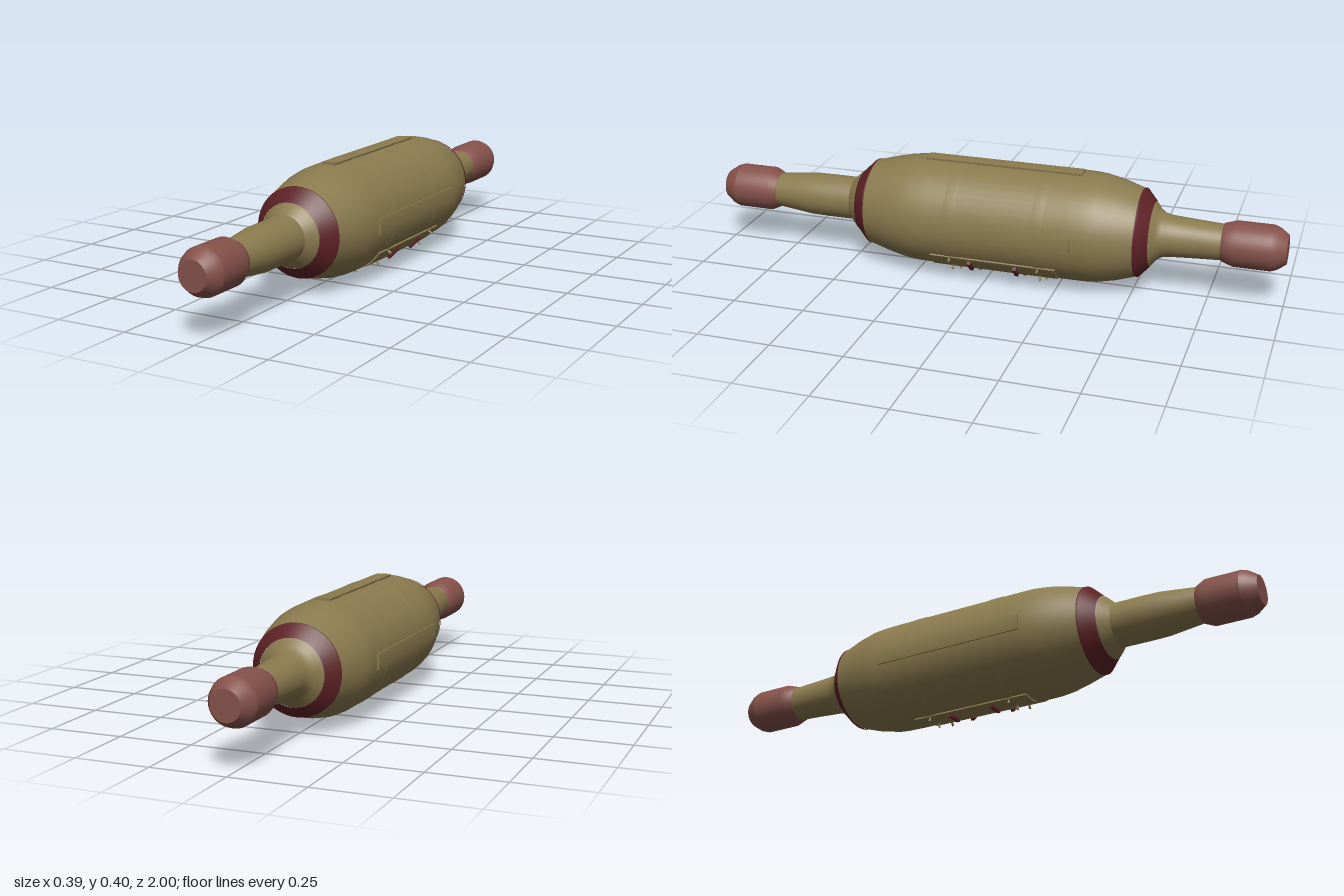
import * as THREE from 'three';

const olive = new THREE.MeshStandardMaterial({ name: 'olive paint', color: 0x8a7a4e });
const red = new THREE.MeshStandardMaterial({ name: 'dark red', color: 0x5e2226 });
const brown = new THREE.MeshStandardMaterial({ name: 'red brown', color: 0x85524a });

export function createModel() {
  const model = new THREE.Group();
  const core = new THREE.Group(); // origin lies on the long axis
  core.name = 'cylinderAssembly';
  core.position.y = 0.208;
  model.add(core);

  const add = (name, geometry, material, parent = core) => {
    const mesh = new THREE.Mesh(geometry, material);
    mesh.name = name;
    parent.add(mesh);
    return mesh;
  };

  // Turned part along z; points are [radius, z] with z rising
  const turned = (name, points, material) => {
    const profile = points.map(([r, z]) => new THREE.Vector2(r, z));
    return add(name, new THREE.LatheGeometry(profile, 48).rotateX(Math.PI / 2), material);
  };

  // Curved plate hugging the body, centred on local +x
  const arcPlate = (inner, outer, halfAngle, z0, z1) => {
    const shape = new THREE.Shape();
    shape.absarc(0, 0, outer, -halfAngle, halfAngle, false);
    shape.absarc(0, 0, inner, halfAngle, -halfAngle, true);
    return new THREE.ExtrudeGeometry(shape, { depth: z1 - z0, bevelEnabled: false, curveSegments: 6 })
      .translate(0, 0, z0);
  };

  // Main body
  turned('body', [[0.148, -0.518], [0.17, -0.45], [0.184, -0.385], [0.187, -0.35],
    [0.188, -0.3], [0.188, 0.2], [0.187, 0.25], [0.181, 0.3], [0.167, 0.36], [0.148, 0.428]], olive);

  // Shallow straps around the body
  for (const [z0, z1] of [[-0.222, -0.18], [0.08, 0.125]]) {
    turned('strap', [[0.187, z0], [0.1895, z0 + 0.001], [0.1895, z1 - 0.001], [0.187, z1]], olive);
  }

  // Red end collars
  turned('frontCollar', [[0.15, 0.425], [0.15, 0.431], [0.107, 0.475]], red);
  turned('rearCollar', [[0.11, -0.558], [0.15, -0.522], [0.15, -0.515]], red);

  // Necks and shafts
  turned('frontNeck', [[0.107, 0.473], [0.104, 0.48], [0.075, 0.51]], olive);
  turned('frontShaft', [[0.075, 0.508], [0.075, 0.6], [0.074, 0.67], [0.066, 0.74], [0.058, 0.81]], olive);
  turned('rearShaft', [[0.06, -0.8], [0.064, -0.72], [0.07, -0.62], [0.075, -0.592],
    [0.088, -0.575], [0.11, -0.556]], olive);

  // Grips with flat, chamfered ends
  turned('frontGrip', [[0.056, 0.795], [0.063, 0.8], [0.077, 0.83], [0.077, 0.95]], brown);
  turned('frontGripChamfer', [[0.077, 0.95], [0.07, 0.97], [0.049, 1]], brown);
  turned('frontGripEnd', [[0.049, 1], [0, 1]], brown);
  turned('rearGrip', [[0.077, -0.95], [0.077, -0.83], [0.064, -0.79], [0.056, -0.785]], brown);
  turned('rearGripChamfer', [[0.049, -1], [0.07, -0.97], [0.077, -0.95]], brown);
  turned('rearGripEnd', [[0, -1], [0.049, -1]], brown);

  // Long raised strips on the top and both sides
  for (const angle of [0, Math.PI / 2, Math.PI]) {
    add('longStrip', arcPlate(0.185, 0.195, 0.137, -0.315, 0.235), olive).rotation.z = angle;
  }

  // Two service panels, underneath and on the lower left
  for (const angle of [-Math.PI / 2, -Math.PI / 4]) {
    const panel = new THREE.Group();
    panel.name = 'servicePanel';
    panel.rotation.z = angle;
    core.add(panel);
    add('panelPlate', arcPlate(0.184, 0.193, 0.195, -0.26, 0.18), olive, panel);

    // Red cross bars
    for (const z of [-0.12, 0.04]) {
      add('crossBar', new THREE.BoxGeometry(0.014, 0.052, 0.012).translate(0.196, 0, z), red, panel);
    }
    // Corner pins
    for (const z of [-0.2, 0.11]) {
      for (const side of [-1, 1]) {
        const pin = add('cornerPin', new THREE.CylinderGeometry(0.004, 0.004, 0.02, 8)
          .rotateZ(Math.PI / 2).translate(0.197, 0, z), olive, panel);
        pin.rotation.z = side * 0.155;
      }
    }
  }
  return model;
}
